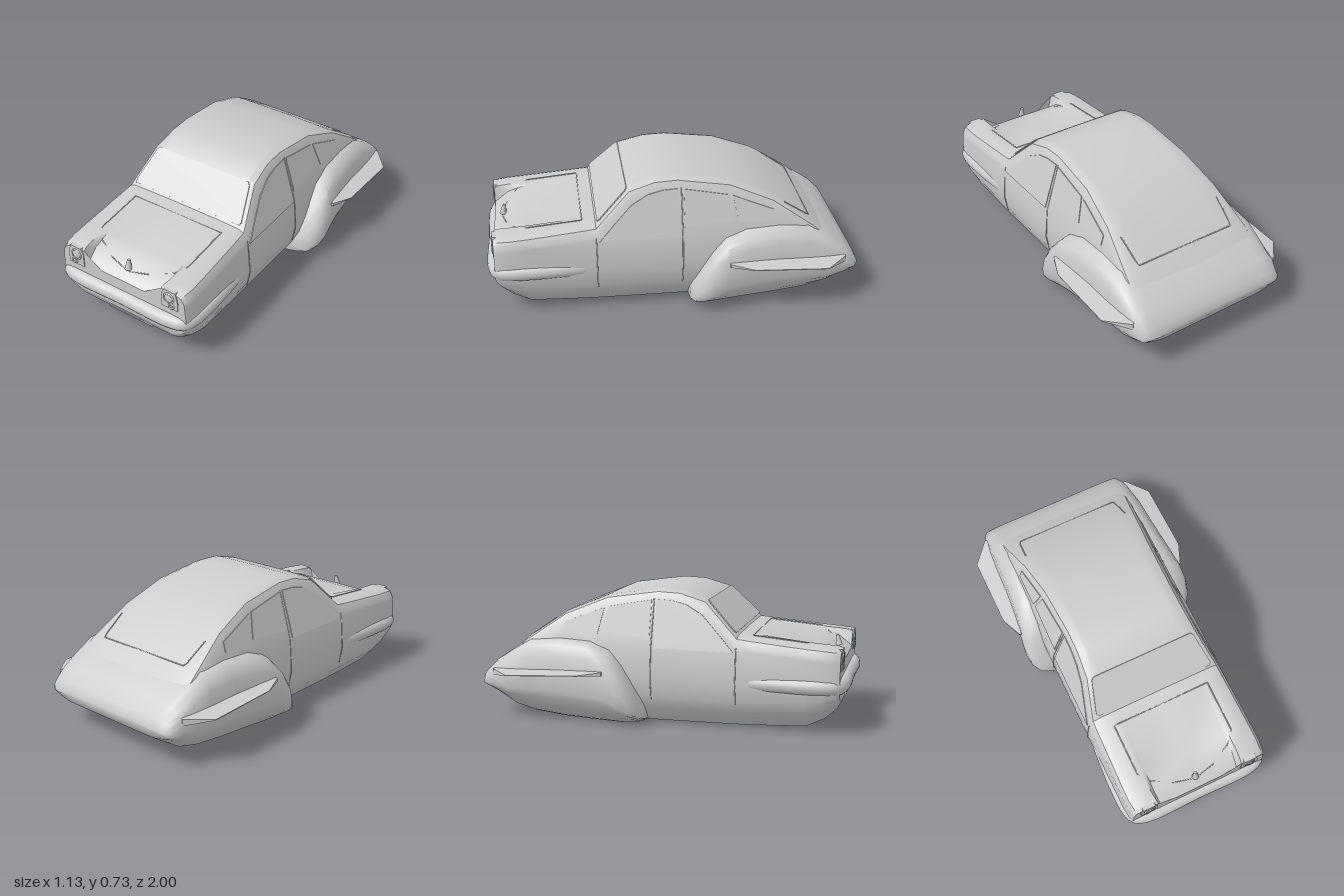
import * as THREE from 'three';
import { toCreasedNormals } from 'three/addons/utils/BufferGeometryUtils.js';

const grey = new THREE.MeshStandardMaterial({ color: 0xcccccc, side: THREE.DoubleSide });
const V = (x, y, z) => new THREE.Vector3(x, y, z);

// Body stations: z, shoulder top, centre top, underside, width factor
const BODY = [
  [0.96, 0.445, 0.365, 0.165, 0.96], [0.94, 0.455, 0.38, 0.13, 0.98],
  [0.88, 0.46, 0.425, 0.075, 1], [0.78, 0.467, 0.455, 0.025, 1],
  [0.5, 0.492, 0.492, 0.012, 1], [0.42, 0.5, 0.5, 0.01, 1],
  [0.24, 0.68, 0.68, 0.008, 1], [0.1, 0.72, 0.72, 0.007, 1],
  [-0.02, 0.725, 0.725, 0.006, 1], [-0.3, 0.685, 0.685, 0.006, 1],
  [-0.53, 0.592, 0.592, 0.008, 1], [-0.75, 0.443, 0.443, 0.04, 1],
  [-0.9, 0.31, 0.31, 0.15, 1],
];
// Rear fender stations: z, top, underside, half width
const REAR = [
  [-0.08, 0.1, 0.01, 0.42], [-0.1, 0.15, 0.004, 0.475], [-0.15, 0.24, 0, 0.51],
  [-0.2, 0.32, 0, 0.52], [-0.27, 0.4, 0, 0.513], [-0.38, 0.443, 0, 0.497],
  [-0.55, 0.455, 0.004, 0.48], [-0.72, 0.44, 0.022, 0.473], [-0.83, 0.375, 0.052, 0.468],
  [-0.92, 0.315, 0.11, 0.46], [-0.98, 0.255, 0.15, 0.44], [-1, 0.215, 0.19, 0.41],
];

// Half width of the cabin and door side at height y
const sideX = (y) => (y > 0.42 ? 0.4 - 0.3 * (y - 0.42) : 0.4 + 0.08 * (0.42 - y));

// Height of the body's upper surface at x, z
function topY(x, z) {
  const i = BODY.findIndex((s, k) => k > 0 && s[0] <= z);
  const a = BODY[i - 1], b = BODY[i], t = (a[0] - z) / (a[0] - b[0]);
  const col = Math.abs(x) > 0.245 ? 1 : 2;
  return a[col] + (b[col] - a[col]) * t;
}

function bodySection([, yT, yC, y0, k]) {
  const sh = yT - 0.05, w = sideX(sh);
  const belt = Math.min(0.42, sh - 0.02), mid = Math.min(0.3, belt - 0.03);
  const low = Math.min(0.24, mid - 0.01), h = low - y0;
  return [
    [0, yC + 0.002], [0.235, yC], [0.255, yT - 0.001], [w - 0.055, yT - 0.003],
    [w - 0.02, yT - 0.016], [w, sh], [sideX(belt), belt], [sideX(mid), mid],
    [0.41, low], [0.4, y0 + h * 0.65], [0.37, y0 + h * 0.35], [0.3, y0], [0, y0],
  ].map(([x, y]) => [x * k, y]);
}

function rearSection([, yT, y0, w]) {
  const h = yT - y0;
  return [
    [0, yT], [w - 0.12, yT], [w - 0.075, yT - 0.02 * h], [w - 0.035, yT - 0.08 * h],
    [w - 0.012, yT - 0.2 * h], [w, yT - 0.42 * h], [w, y0 + 0.37 * h],
    [w - 0.015, y0 + 0.27 * h], [w - 0.06, y0 + 0.14 * h], [w - 0.11, y0 + 0.03 * h],
    [w - 0.14, y0], [0, y0],
  ];
}

// Skin mirrored half sections from front to back, with closed ends
function loft(stations, section, crease) {
  const pos = [], idx = [];
  let n = 0;
  for (const s of stations) {
    const half = section(s);
    const ring = [...half, ...half.slice(1, -1).reverse().map(([x, y]) => [-x, y])];
    n = ring.length;
    ring.forEach(([x, y]) => pos.push(x, y, s[0]));
  }
  const m = stations.length;
  for (let i = 0; i < m - 1; i++) {
    for (let j = 0; j < n; j++) {
      const a = i * n + j, b = i * n + ((j + 1) % n);
      idx.push(a, b, b + n, a, b + n, a + n);
    }
  }
  [0, m - 1].forEach((i) => {
    const c = pos.length / 3;
    pos.push(0, (pos[i * n * 3 + 1] + pos[(i * n + n / 2) * 3 + 1]) / 2, stations[i][0]);
    for (let j = 0; j < n; j++) {
      const a = i * n + j, b = i * n + ((j + 1) % n);
      if (i === 0) idx.push(c, b, a); else idx.push(c, a, b);
    }
  });
  const g = new THREE.BufferGeometry();
  g.setAttribute('position', new THREE.Float32BufferAttribute(pos, 3));
  g.setIndex(idx);
  return toCreasedNormals(g, crease);
}

// Thin plate from an outline, each vertex placed by a rule (u, v, depth)
function plate(outline, depth, place) {
  const shape = new THREE.Shape(outline.map(([u, v]) => new THREE.Vector2(u, v)));
  const g = new THREE.ExtrudeGeometry(shape, { depth, bevelEnabled: false });
  const p = g.attributes.position;
  for (let i = 0; i < p.count; i++) p.setXYZ(i, ...place(p.getX(i), p.getY(i), p.getZ(i)));
  g.computeVertexNormals();
  return g;
}

// Fine raised line along straight runs
function seam(points) {
  const path = new THREE.CurvePath();
  for (let i = 1; i < points.length; i++) path.add(new THREE.LineCurve3(points[i - 1], points[i]));
  return new THREE.TubeGeometry(path, points.length * 8, 0.003, 5);
}

export function createModel() {
  const car = new THREE.Group();
  car.name = 'car';
  const add = (name, geometry, x = 0, y = 0, z = 0) => {
    const mesh = new THREE.Mesh(geometry, grey);
    mesh.name = name;
    mesh.position.set(x, y, z);
    car.add(mesh);
    return mesh;
  };

  add('body', loft(BODY, bodySection, 0.6));
  add('rearFenders', loft(REAR, rearSection, 0.9));

  // Windshield on the sloping front of the cabin
  add('windshield', plate(
    [[-0.335, 0.51], [0.335, 0.51], [0.342, 0.522], [0.3, 0.66], [0.285, 0.672],
      [-0.285, 0.672], [-0.3, 0.66], [-0.342, 0.522]],
    0.008, (x, y, d) => [x, y + d * 0.5, 0.42 - (y - 0.5) + d * 0.5 - 0.001]));

  // Bumper wrapping round the nose
  const half = [[0.37, 0.5], [0.379, 0.6], [0.387, 0.76], [0.383, 0.88], [0.365, 0.935], [0.3, 0.957]];
  const bumperPts = [...half, [0, 0.957], ...half.slice().reverse().map(([x, z]) => [-x, z])]
    .map(([x, z]) => V(x, 0.257, z));
  add('bumper', new THREE.TubeGeometry(new THREE.CatmullRomCurve3(bumperPts, false, 'centripetal'), 80, 0.043, 16));

  // Number plate panel and its lip under the bumper
  add('platePanel', plate([[-0.14, 0.097], [0.14, 0.097], [0.095, 0.155], [-0.095, 0.155]], 0.008,
    (x, y, d) => [x, y, 0.9 + (y - 0.095) * 0.9 + d]));
  add('plateLip', new THREE.BoxGeometry(0.285, 0.006, 0.04), 0, 0.095, 0.9);

  // Hood ornament and panel lines
  add('hoodOrnament', new THREE.CylinderGeometry(0.009, 0.019, 0.055, 8), 0, 0.438, 0.905).rotation.x = -0.2;
  const hood = [[0.28, 0.49], [0.28, 0.64], [0.28, 0.78], [0.235, 0.83], [0.12, 0.89], [0, 0.915],
    [-0.12, 0.89], [-0.235, 0.83], [-0.28, 0.78], [-0.28, 0.64], [-0.28, 0.49], [0.28, 0.49]];
  add('hoodSeam', seam(hood.map(([x, z]) => V(x, topY(x, z), z))));
  const trunk = [[0.31, -0.6], [0.3, -0.74], [-0.3, -0.74], [-0.31, -0.6]];
  add('rearWindowSeam', seam(trunk.map(([x, z]) => V(x, topY(x, z), z))));

  // Side outlines as z, y
  const windows = {
    doorWindow: [[0.405, 0.42], [-0.02, 0.42], [-0.025, 0.672], [0.06, 0.668], [0.14, 0.65], [0.23, 0.6], [0.33, 0.5]],
    rearWindow: [[-0.05, 0.47], [-0.05, 0.668], [-0.29, 0.625], [-0.32, 0.49]],
    quarterWindow: [[-0.31, 0.62], [-0.53, 0.535], [-0.53, 0.48], [-0.34, 0.48]],
  };

  for (const s of [1, -1]) {
    const side = s > 0 ? 'left' : 'right';
    for (const [name, outline] of Object.entries(windows)) {
      add(`${side} ${name}`, plate(outline, 0.008,
        (z, y, d) => [s * (sideX(y) - 0.004 + d), y, z]));
    }

    // Door edges
    for (const [z, yTop] of [[0.42, 0.44], [-0.038, 0.675]]) {
      add(`${side} doorSeam`, seam([0.14, 0.24, 0.42, yTop]
        .map((y) => V(s * (y < 0.24 ? 0.395 : sideX(y)), y, z))));
    }

    // Headlight pod with a large and a small lamp
    const pod = [[0.25, 0.34], [0.345, 0.34], [0.35, 0.39], [0.335, 0.452], [0.265, 0.452], [0.25, 0.42]];
    add(`${side} headlightPod`, plate(pod, 0.05, (x, y, d) => [s * x, y, 0.915 + d]));
    for (const [name, x, y, r] of [['headlight', 0.296, 0.406, 0.028], ['sideLamp', 0.31, 0.36, 0.014]]) {
      add(`${side} ${name}Ring`, new THREE.TorusGeometry(r, 0.005, 8, 28), s * x, y, 0.966);
      add(`${side} ${name}`, new THREE.SphereGeometry(r, 24, 12), s * x, y, 0.964).scale.z = 0.3;
    }

    // Rounded bumper end
    add(`${side} bumperEnd`, new THREE.SphereGeometry(0.043, 16, 12), s * 0.37, 0.257, 0.5);

    // Blade fin on the rear fender, thinning towards its tip
    const fin = [[0.45, -0.26], [0.515, -0.28], [0.565, -0.4], [0.565, -0.8], [0.46, -0.92], [0.43, -0.9]];
    add(`${side} fenderFin`, plate(fin, 1, (x, z, d) => {
      const thick = 0.004 + Math.max(0, 0.565 - x) * 0.3;
      return [s * x, 0.288 + (z + 0.28) * 0.05 + (d - 0.5) * thick, z];
    }));
  }
  return car;
}
